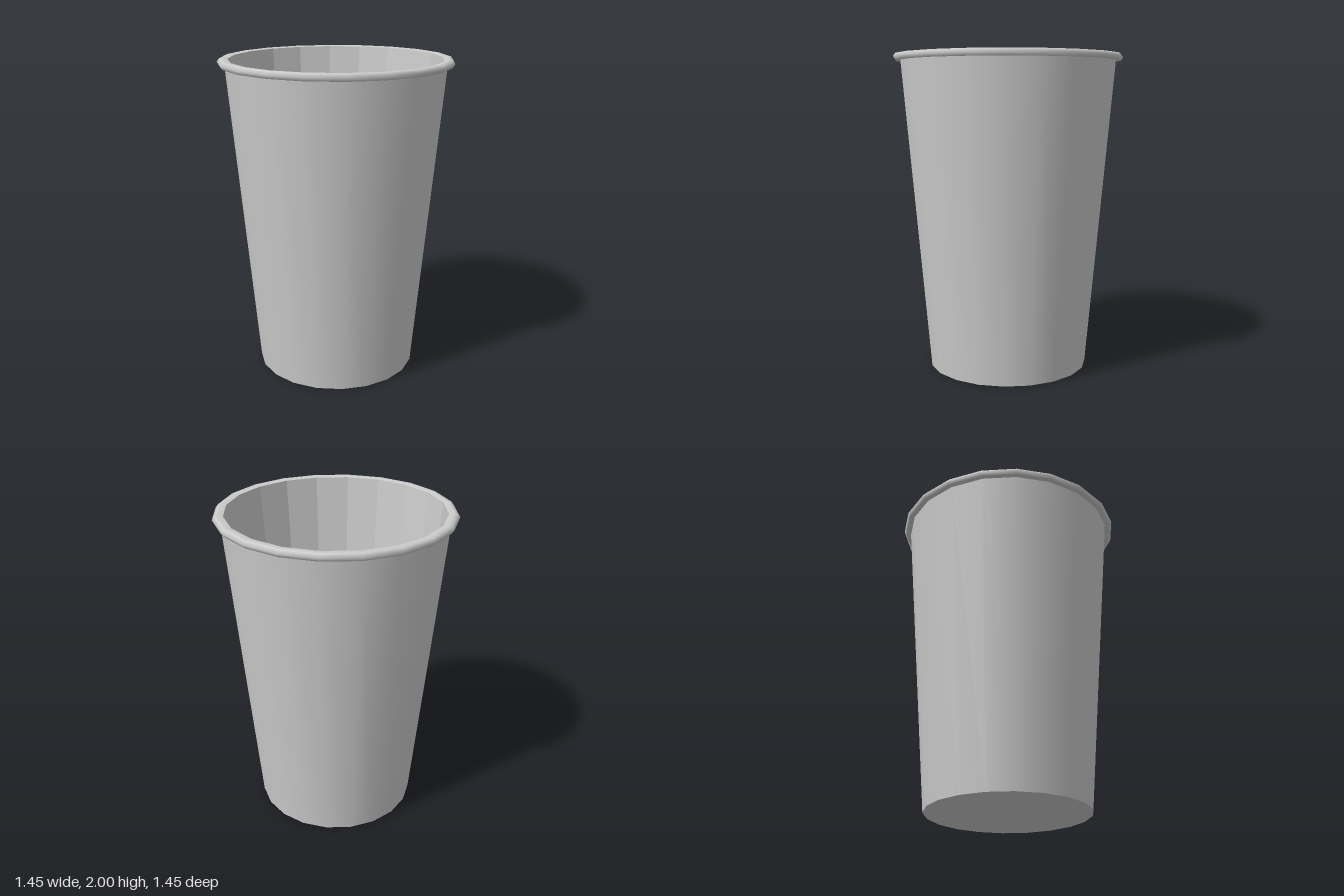
import * as THREE from 'three';

const SIDES = 20;
const smooth = new THREE.MeshStandardMaterial({ color: 0xcccccc });
const faceted = new THREE.MeshStandardMaterial({ color: 0xcccccc, flatShading: true });

// Surface of revolution from [radius, height] pairs; rising profiles face outward
function lathe(name, profile, material) {
  const points = profile.map(([r, y]) => new THREE.Vector2(r, y));
  const mesh = new THREE.Mesh(new THREE.LatheGeometry(points, SIDES), material);
  mesh.name = name;
  return mesh;
}

// Horizontal disc facing up (dir = 1) or down (dir = -1)
function disc(name, radius, y, dir) {
  const geometry = new THREE.CircleGeometry(radius, SIDES).rotateX(-dir * Math.PI / 2);
  const mesh = new THREE.Mesh(geometry, faceted);
  mesh.name = name;
  mesh.position.y = y;
  return mesh;
}

export function createModel() {
  const cup = new THREE.Group();
  cup.name = 'cup';
  cup.add(
    // Tapered wall: smooth outside, faceted inside
    lathe('outerWall', [[0.51, 0], [0.68, 1.96]], smooth),
    lathe('innerWall', [[0.66, 1.995], [0.49, 0.02]], faceted),
    // Rolled lip
    lathe('rim', [[0.68, 1.958], [0.71, 1.956], [0.725, 1.978], [0.71, 1.998], [0.69, 2], [0.66, 1.995]], smooth),
    // Bottom, seen from inside and from below
    disc('floor', 0.49, 0.02, 1),
    disc('base', 0.51, 0, -1),
  );
  return cup;
}
